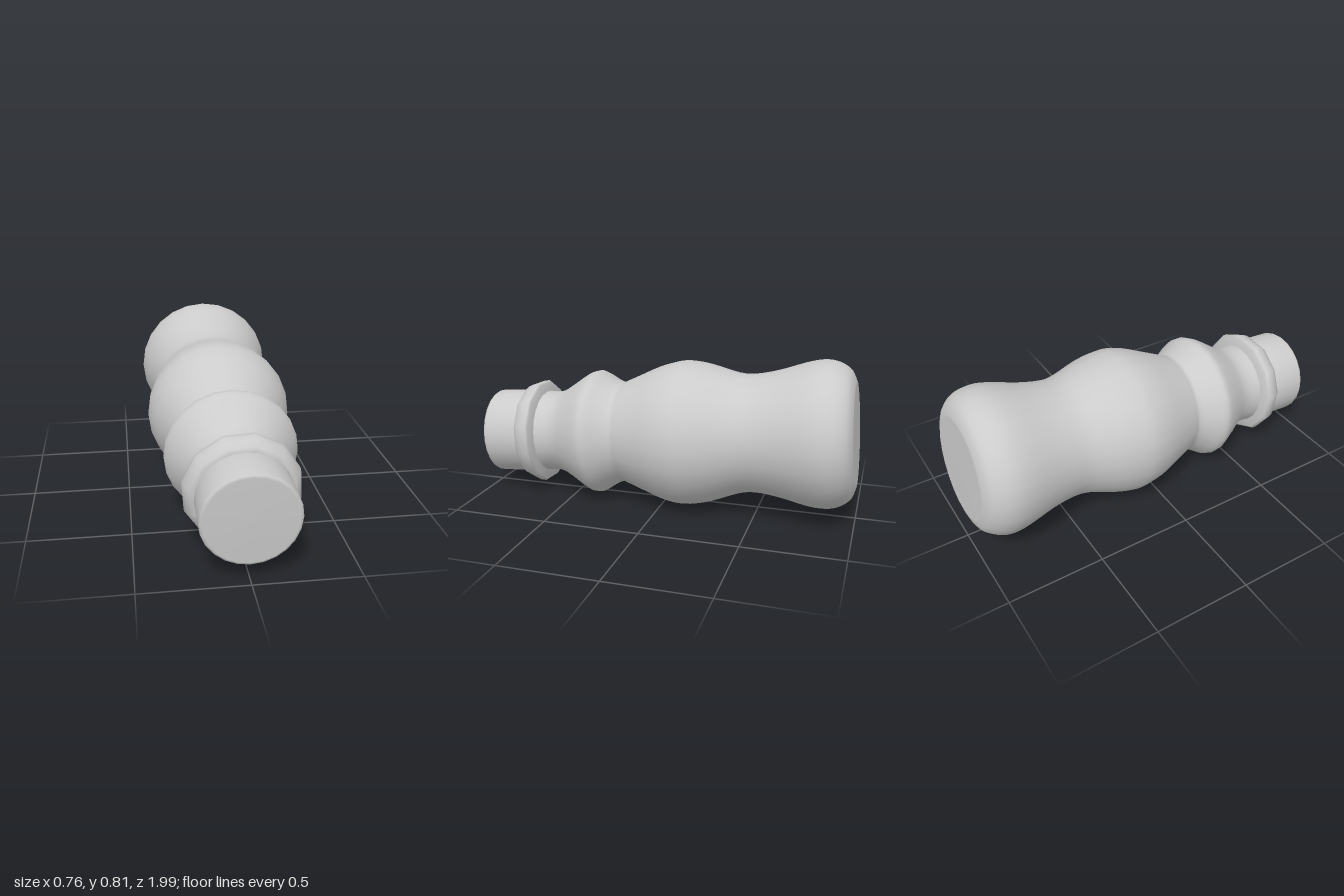
import * as THREE from 'three';

const TILT = Math.atan(0.075);
const v = ([r, s]) => new THREE.Vector2(r, s);

export function createModel() {
  const group = new THREE.Group();
  const material = new THREE.MeshStandardMaterial({ color: 0xcccccc });

  // All parts are turned around one axis that dips towards the front
  const turned = (name, points, sides, phase = 0) => {
    const geometry = new THREE.LatheGeometry(points, sides, phase);
    geometry.rotateX(Math.PI / 2 + TILT);
    const mesh = new THREE.Mesh(geometry, material);
    mesh.name = name;
    mesh.position.y = 0.378;
    group.add(mesh);
  };

  // Grip: flat back end, palm swell, waist, belly, finger ring and neck
  const curve = new THREE.SplineCurve([
    [0.265, -0.98], [0.315, -0.96], [0.35, -0.92], [0.37, -0.87], [0.374, -0.81],
    [0.36, -0.73], [0.325, -0.6], [0.306, -0.48], [0.313, -0.39], [0.357, -0.25],
    [0.377, -0.15], [0.377, -0.08], [0.355, 0.01], [0.315, 0.11], [0.279, 0.2],
    [0.268, 0.24], [0.295, 0.3], [0.331, 0.365], [0.315, 0.42], [0.26, 0.51],
    [0.227, 0.57], [0.216, 0.63], [0.222, 0.7],
  ].map(v));
  turned('grip', [v([0, -0.982]), v([0.255, -0.981]), ...curve.getPoints(66), v([0.222, 0.76]), v([0, 0.76])], 24);

  // Collar: coarser ring in front of the neck
  turned('collar', [
    [0.2, 0.675], [0.23, 0.682], [0.268, 0.69], [0.279, 0.7], [0.279, 0.725],
    [0.268, 0.755], [0.25, 0.78], [0.232, 0.79], [0.2, 0.79],
  ].map(v), 12, THREE.MathUtils.degToRad(19));

  // Spigot: plain plug at the front end
  turned('spigot', [
    [0, 0.77], [0.216, 0.775], [0.226, 0.79], [0.227, 0.88], [0.227, 0.965],
    [0.222, 0.976], [0.21, 0.981], [0, 0.983],
  ].map(v), 24);

  return group;
}
